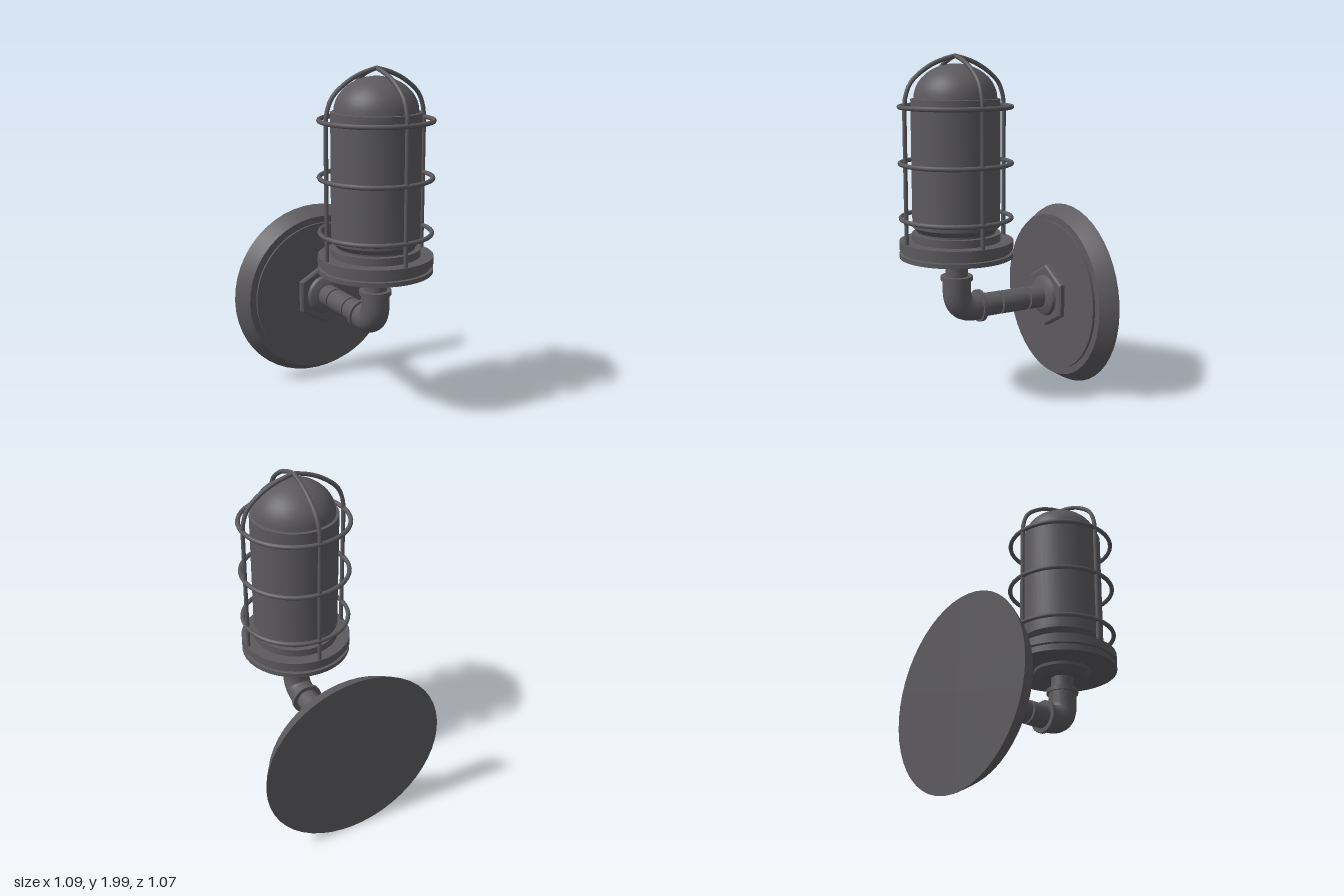
import * as THREE from 'three';
import { toCreasedNormals } from 'three/addons/utils/BufferGeometryUtils.js';

const V = (x, y, z) => new THREE.Vector3(x, y, z);
const LAMP_Z = 0.205; // upright lamp axis
const PIPE_Y = 0.56; // horizontal pipe axis

export function createModel() {
  const model = new THREE.Group();
  model.name = 'wallLamp';
  const metal = new THREE.MeshStandardMaterial({ color: 0x5c5a5e });
  metal.name = 'darkGreyMetal';

  function add(parent, name, geometry) {
    const mesh = new THREE.Mesh(geometry, metal);
    mesh.name = name;
    parent.add(mesh);
    return mesh;
  }
  // Turned part: profile of [radius, height], listed bottom to top
  function turned(parent, name, profile, sides = 40) {
    const points = profile.map(([r, h]) => new THREE.Vector2(r, h));
    return add(parent, name, toCreasedNormals(new THREE.LatheGeometry(points, sides), 0.55));
  }

  // Wall mount: local +y points out of the wall
  const mount = new THREE.Group();
  mount.name = 'wallMount';
  mount.rotation.x = Math.PI / 2;
  mount.position.y = PIPE_Y;
  model.add(mount);
  turned(mount, 'backPlate', [[0, -0.54], [0.547, -0.54], [0.535, -0.515], [0.49, -0.442],
    [0.45, -0.442], [0.45, -0.427], [0, -0.427]], 48);
  turned(mount, 'hexNut', [[0, -0.427], [0.19, -0.427], [0.19, -0.402], [0.178, -0.394], [0, -0.394]], 6);
  turned(mount, 'pipeFlange', [[0, -0.396], [0.125, -0.396], [0.115, -0.375], [0.075, -0.355], [0, -0.355]], 24);

  // Three pipe lengths with narrow gaps
  for (const [a, b] of [[-0.356, -0.262], [-0.25, -0.074], [-0.063, 0.06]]) {
    turned(mount, 'pipeSection', [[0, a], [0.068, a], [0.068, b], [0, b]], 24);
  }
  turned(mount, 'elbowRearCollar', [[0, 0.05], [0.094, 0.05], [0.094, 0.073], [0, 0.073]], 24);

  // Elbow bend
  const bend = new THREE.CurvePath();
  bend.add(new THREE.LineCurve3(V(0, PIPE_Y, 0.06), V(0, PIPE_Y, 0.1)));
  bend.add(new THREE.QuadraticBezierCurve3(V(0, PIPE_Y, 0.1), V(0, PIPE_Y, LAMP_Z), V(0, 0.665, LAMP_Z)));
  bend.add(new THREE.LineCurve3(V(0, 0.665, LAMP_Z), V(0, 0.74, LAMP_Z)));
  add(model, 'elbow', new THREE.TubeGeometry(bend, 20, 0.081, 24));

  // Upright lamp body
  const lamp = new THREE.Group();
  lamp.name = 'lamp';
  lamp.position.z = LAMP_Z;
  model.add(lamp);
  turned(lamp, 'elbowTopCollar', [[0, 0.732], [0.092, 0.732], [0.092, 0.757], [0, 0.757]], 24);
  turned(lamp, 'neck', [[0.065, 0.75], [0.065, 0.835]], 24);
  turned(lamp, 'neckFlange', [[0, 0.828], [0.125, 0.828], [0.165, 0.855], [0.168, 0.875], [0, 0.875]]);
  turned(lamp, 'baseRim', [[0, 0.872], [0.322, 0.872], [0.322, 0.897], [0.305, 0.899],
    [0.305, 0.917], [0.322, 0.92], [0.322, 0.967], [0.25, 0.967], [0.25, 1.01], [0, 1.01]]);
  turned(lamp, 'globeSeat', [[0.22, 1.005], [0.22, 1.02], [0.248, 1.05], [0.248, 1.07], [0, 1.07]]);

  // Globe: straight wall closed by a dome
  const globe = [[0, 1.06], [0.247, 1.06], [0.247, 1.755], [0.23, 1.757]];
  for (let i = 1; i <= 10; i++) {
    const a = (i / 10) * Math.PI / 2;
    globe.push([0.23 * Math.cos(a), 1.757 + 0.188 * Math.sin(a)]);
  }
  turned(lamp, 'globe', globe, 48);

  // Cage hoops
  const cage = new THREE.Group();
  cage.name = 'cage';
  lamp.add(cage);
  for (const y of [1.095, 1.402, 1.712]) {
    const hoop = add(cage, 'cageHoop', new THREE.TorusGeometry(0.31, 0.013, 8, 40));
    hoop.rotation.x = Math.PI / 2;
    hoop.position.y = y;
  }
  // Four upright bars meeting over the dome
  const crown = new THREE.CatmullRomCurve3([V(0.307, 1.7, 0), V(0.302, 1.76, 0), V(0.268, 1.845, 0),
    V(0.17, 1.925, 0), V(0.08, 1.965, 0), V(0, 1.986, 0)]);
  const bar = new THREE.CurvePath();
  bar.add(new THREE.LineCurve3(V(0.307, 0.93, 0), V(0.307, 1.7, 0)));
  bar.add(crown);
  const barGeometry = new THREE.TubeGeometry(bar, 40, 0.0125, 8);
  for (let i = 0; i < 4; i++) {
    add(cage, 'cageBar', barGeometry).rotation.y = i * Math.PI / 2;
  }
  return model;
}
